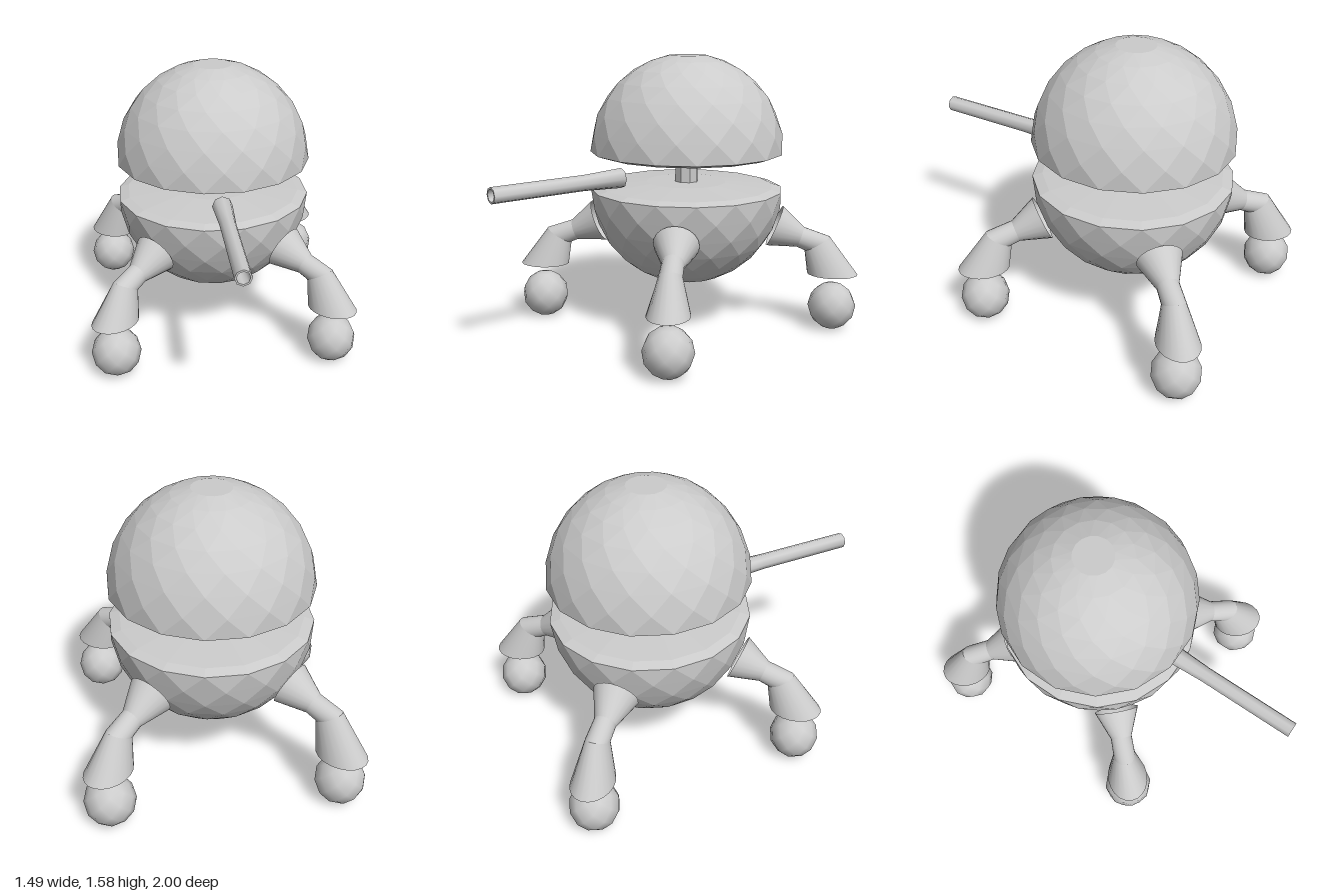
import * as THREE from 'three';
import { mergeVertices, toCreasedNormals } from 'three/addons/utils/BufferGeometryUtils.js';

const smooth = new THREE.MeshStandardMaterial({ color: 0xcccccc, side: THREE.DoubleSide });
const faceted = new THREE.MeshStandardMaterial({ color: 0xcccccc, side: THREE.DoubleSide, flatShading: true });

const BODY_Z = -0.255;
const SIDES = 16;
const R = 0.555;

function part(parent, name, geometry, material) {
  const mesh = new THREE.Mesh(geometry, material);
  mesh.name = name;
  parent.add(mesh);
  return mesh;
}

// Joins rings [radius, y, turn], top to bottom; half-step turns give diamond facets
function ringSurface(rings, n) {
  const pos = [], index = [];
  rings.forEach(([r, y, turn], i) => {
    for (let j = 0; j < n; j++) {
      const a = ((j + turn) / n) * Math.PI * 2;
      pos.push(r * Math.sin(a), y, r * Math.cos(a));
    }
    if (i === 0) return;
    for (let j = 0; j < n; j++) {
      const k = (j + 1) % n, u = (i - 1) * n, l = i * n;
      if (rings[i - 1][0] > 0) index.push(u + j, l + j, u + k);
      if (r > 0) index.push(l + j, l + k, u + k);
    }
  });
  let g = new THREE.BufferGeometry();
  g.setAttribute('position', new THREE.Float32BufferAttribute(pos, 3));
  g.setIndex(index);
  g = mergeVertices(g, 1e-5);
  g.computeVertexNormals();
  return g;
}

// Rings of a ball from polar step k0 to k1 out of a given number of steps
function ballRings(radius, cy, steps, k0, k1, shift) {
  const out = [];
  for (let k = k0; k <= k1; k++) {
    const t = (k / steps) * Math.PI;
    const r = k === 0 || k === steps ? 0 : radius * Math.sin(t);
    out.push([r, cy + radius * Math.cos(t), (k + shift) / 2]);
  }
  return out;
}

// Tube through elliptical rings: u outward, y up, (du, dy) upper half axis, s side half width
function limbSegment(a, b, n = 20) {
  const pos = [], index = [];
  for (const { u, y, du, dy, s } of [a, b]) {
    for (let j = 0; j < n; j++) {
      const t = (j / n) * Math.PI * 2;
      pos.push(u + du * Math.cos(t), y + dy * Math.cos(t), s * Math.sin(t));
    }
  }
  for (let j = 0; j < n; j++) {
    const k = (j + 1) % n;
    index.push(j, n + j, k, k, n + j, n + k);
  }
  const g = new THREE.BufferGeometry();
  g.setAttribute('position', new THREE.Float32BufferAttribute(pos, 3));
  // Reverse the winding so the fronts face outward
  for (let i = 0; i < index.length; i += 3) [index[i], index[i + 1]] = [index[i + 1], index[i]];
  g.setIndex(index);
  g.computeVertexNormals();
  return g;
}

function makeLeg(cuffY) {
  const leg = new THREE.Group();
  leg.name = 'leg';
  const hip = { u: 0.515, y: 0.605, du: 0.048, dy: 0.115, s: 0.125 };
  const thigh = { u: 0.665, y: 0.543, du: 0.02, dy: 0.058, s: 0.06 };
  const knee = { u: 0.762, y: 0.508, du: 0.07, dy: 0.043, s: 0.062 };
  const cuff = { u: 0.855, y: 0.33, du: 0.115 * 1.25, dy: 0, s: 0.115 };
  part(leg, 'hipFlare', limbSegment(hip, thigh), smooth);
  part(leg, 'thigh', limbSegment(thigh, knee), smooth);
  part(leg, 'shin', limbSegment(knee, { ...cuff, y: cuffY }), smooth);
  // Ball foot hanging just under the open cuff
  const foot = part(leg, 'foot', ringSurface(ballRings(0.1375, 0, 8, 0, 8, 0), 8), smooth);
  foot.position.set(0.858, 0.1375, 0);
  foot.rotation.y = Math.PI / 4;
  return leg;
}

export function createModel() {
  const model = new THREE.Group();
  model.name = 'walker';

  const body = new THREE.Group();
  body.name = 'body';
  body.position.z = BODY_Z;
  model.add(body);

  // Upper dome: flat crown, diamond facets, shallow underside
  part(body, 'upperDome', ringSurface([
    [0, 1.579, 0],
    ...ballRings(R, 1.035, 16, 1, 8, -1),
    [0.5, 1.017, 3.5], [0.23, 0.992, 3.5], [0, 0.992, 3.5],
  ], SIDES), faceted);

  // Lower bowl: shallow lid above, diamond facets below
  part(body, 'lowerBowl', ringSurface([
    [0, 0.856, 3.5], [0.23, 0.856, 3.5], [0.5, 0.835, 3.5],
    ...ballRings(R, 0.818, 16, 8, 16, -1),
  ], SIDES), faceted);

  // Post between the two halves
  const neck = part(body, 'neck', new THREE.CylinderGeometry(0.068, 0.068, 0.16, 8), faceted);
  neck.position.y = 0.924;
  neck.rotation.y = Math.PI / 8;

  // Hollow barrel pointing forward, flared at its rear
  const profile = [[0, 0.21], [0.056, 0.21], [0.044, 0.45], [0.044, 1], [0.034, 1], [0.034, 0.85], [0, 0.85]]
    .map(([r, y]) => new THREE.Vector2(r, y));
  const barrel = part(model, 'barrel',
    toCreasedNormals(new THREE.LatheGeometry(profile, 8), Math.PI / 3), smooth);
  barrel.rotation.x = Math.PI / 2;
  barrel.position.y = 0.925;

  // Four diagonal legs; the right rear one has a slightly longer cuff
  for (let i = 0; i < 4; i++) {
    const leg = makeLeg(i === 1 ? 0.3 : 0.33);
    leg.rotation.y = Math.PI / 4 + (i * Math.PI) / 2;
    body.add(leg);
  }
  return model;
}
